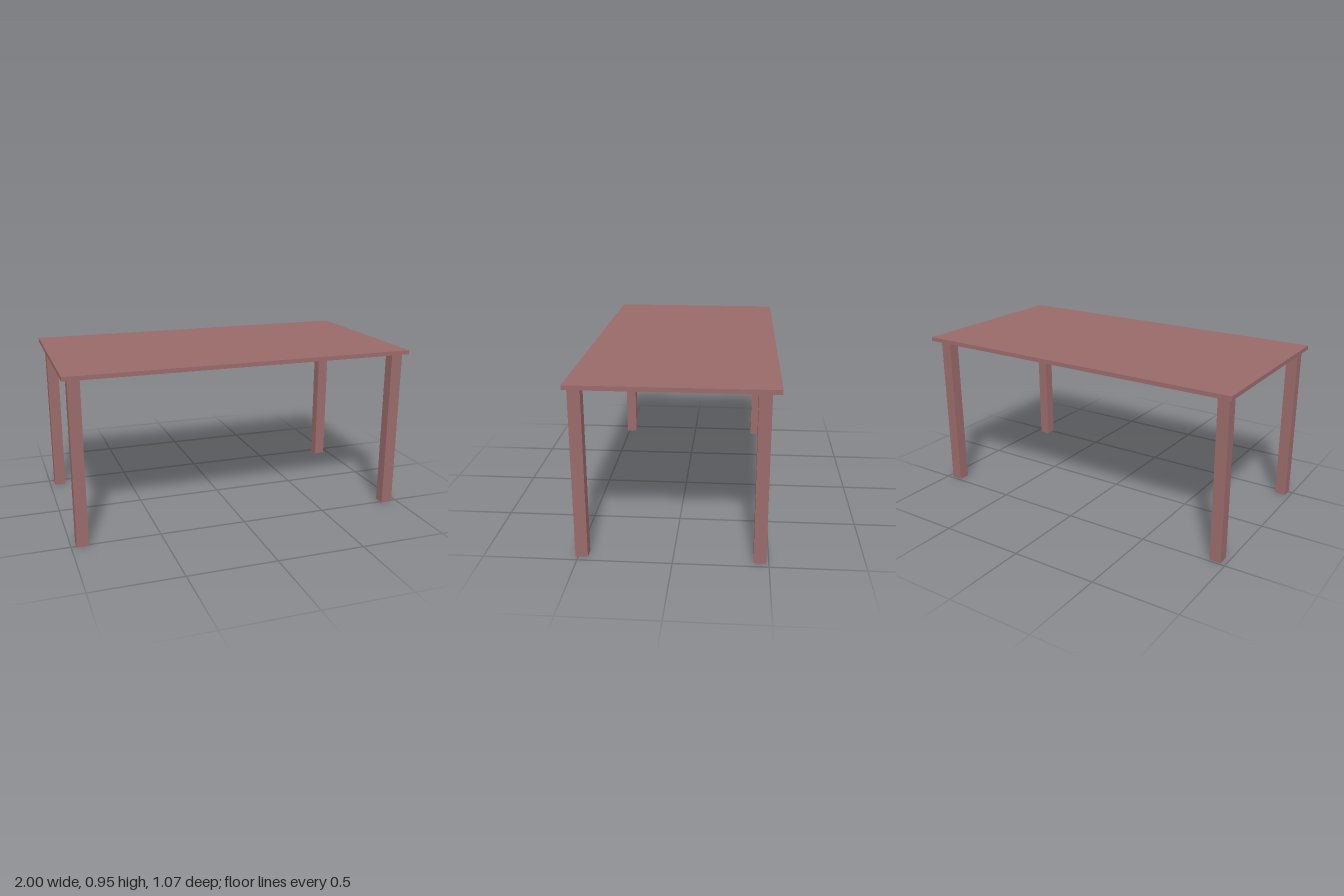
import * as THREE from 'three';

const HEIGHT = 0.954;
const TOP_THICKNESS = 0.024;
const LEG_HEIGHT = HEIGHT - TOP_THICKNESS;
const LEG_WIDTH = 0.066;

export function createModel() {
  const table = new THREE.Group();
  table.name = 'table';
  const wood = new THREE.MeshStandardMaterial({ color: 0x996a6a });

  const addBox = (name, w, h, d, x, y, z) => {
    const mesh = new THREE.Mesh(new THREE.BoxGeometry(w, h, d), wood);
    mesh.name = name;
    mesh.position.set(x, y, z);
    table.add(mesh);
  };

  // Thin rectangular top
  addBox('tableTop', 2, TOP_THICKNESS, 1.066, 0, HEIGHT - TOP_THICKNESS / 2, 0);

  // Four square legs, set slightly off centre under the top
  for (const [side, x] of [['Left', 0.933], ['Right', -0.938]]) {
    for (const [end, z] of [['front', 0.481], ['back', -0.453]]) {
      addBox(`${end}${side}Leg`, LEG_WIDTH, LEG_HEIGHT, LEG_WIDTH, x, LEG_HEIGHT / 2, z);
    }
  }

  return table;
}
